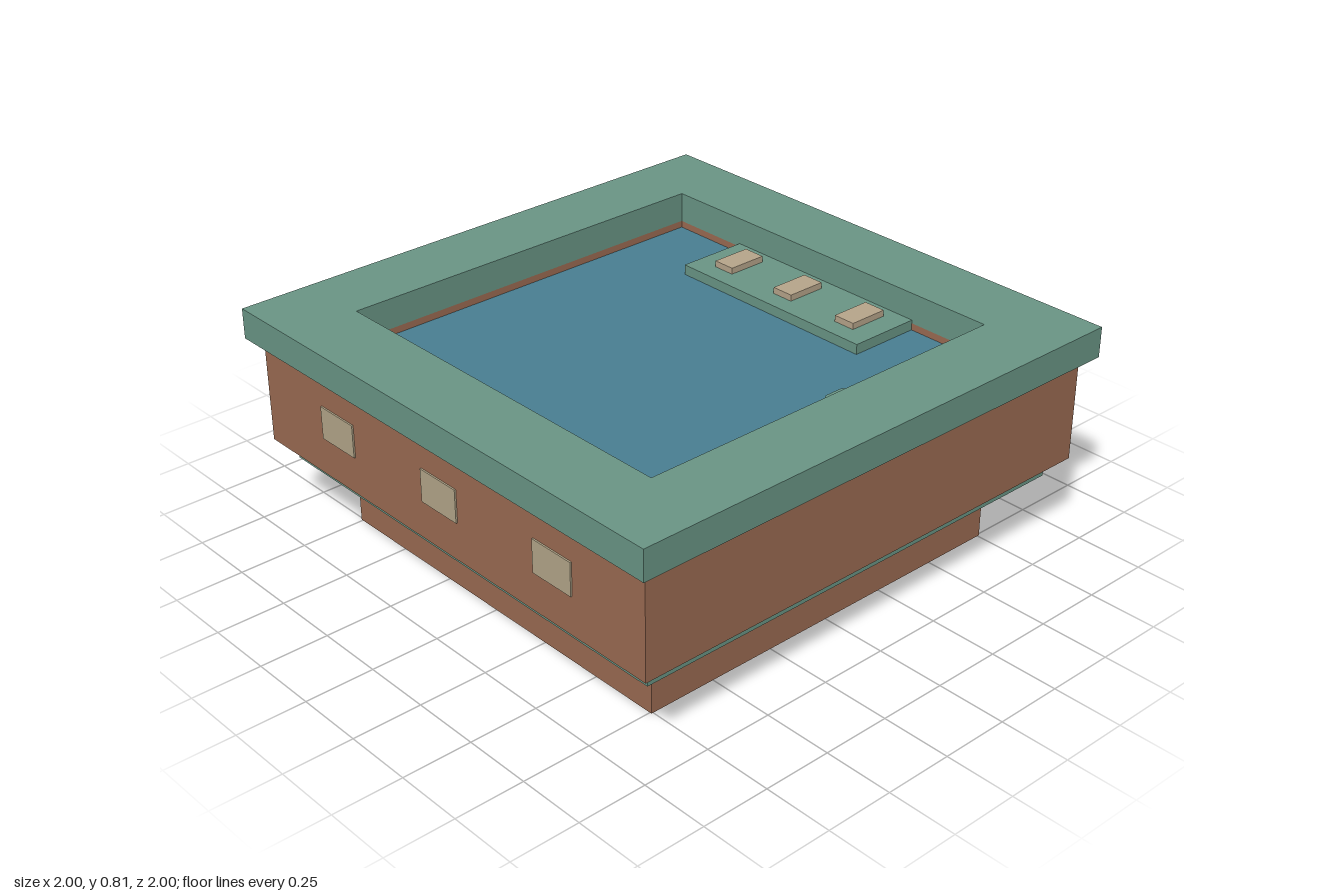
import * as THREE from 'three';

const mat = (name, color) => {
  const m = new THREE.MeshStandardMaterial({ color });
  m.name = name;
  return m;
};

export function createModel() {
  const group = new THREE.Group();
  const green = mat('sea green', 0x6b9787);
  const clay = mat('clay brown', 0x9d6c53);
  const blue = mat('water blue', 0x4a8094);
  const tan = mat('window tan', 0xb5a88b);
  const sand = mat('seat sand', 0xb9a78c);

  const add = (name, geometry, material) => {
    const mesh = new THREE.Mesh(geometry, material);
    mesh.name = name;
    group.add(mesh);
    return mesh;
  };

  // Box given by its limits on each axis
  const box = (name, [x0, x1], [y0, y1], [z0, z1], material) =>
    add(name, new THREE.BoxGeometry(x1 - x0, y1 - y0, z1 - z0), material)
      .position.set((x0 + x1) / 2, (y0 + y1) / 2, (z0 + z1) / 2);

  const square = (path, h) => path.moveTo(-h, -h).lineTo(h, -h).lineTo(h, h).lineTo(-h, h).closePath();

  // Square ring with an open middle
  const frame = (name, outer, inner, y0, y1, material) => {
    const shape = square(new THREE.Shape(), outer);
    shape.holes.push(square(new THREE.Path(), inner));
    const g = new THREE.ExtrudeGeometry(shape, { depth: y1 - y0, bevelEnabled: false });
    g.rotateX(-Math.PI / 2).translate(0, y0, 0);
    add(name, g, material);
  };

  // Stepped tub
  box('base', [-0.757, 0.757], [0, 0.245], [-0.757, 0.757], clay);
  box('lowerTrim', [-0.897, 0.897], [0.245, 0.315], [-0.897, 0.897], green);
  frame('tubWall', 0.955, 0.73, 0.315, 0.7, clay);
  frame('rim', 1, 0.73, 0.7, 0.81, green);
  box('water', [-0.73, 0.73], [0.315, 0.675], [-0.73, 0.73], blue);

  // Ledge with three raised blocks
  box('ledge', [-0.42, 0.42], [0.67, 0.712], [-0.73, -0.46], green);
  for (const x of [-0.293, 0, 0.293]) {
    box('ledgeBlock', [x - 0.042, x + 0.042], [0.712, 0.735], [-0.68, -0.53], sand);
  }

  // Small flat tongue with rounded tip on the water
  const tongue = new THREE.Shape();
  tongue.moveTo(0.73, 0.16).lineTo(0.73, 0.26).lineTo(0.58, 0.26);
  tongue.quadraticCurveTo(0.555, 0.26, 0.555, 0.235).lineTo(0.555, 0.185);
  tongue.quadraticCurveTo(0.555, 0.16, 0.58, 0.16);
  const tongueGeometry = new THREE.ExtrudeGeometry(tongue, { depth: 0.004, bevelEnabled: false });
  tongueGeometry.rotateX(-Math.PI / 2).translate(0, 0.675, 0);
  add('waterTongue', tongueGeometry, green);

  // Front panels
  for (const x of [-0.545, -0.003, 0.546]) {
    box('frontPanel', [x - 0.088, x + 0.088], [0.455, 0.575], [0.954, 0.961], tan);
  }

  return group;
}
